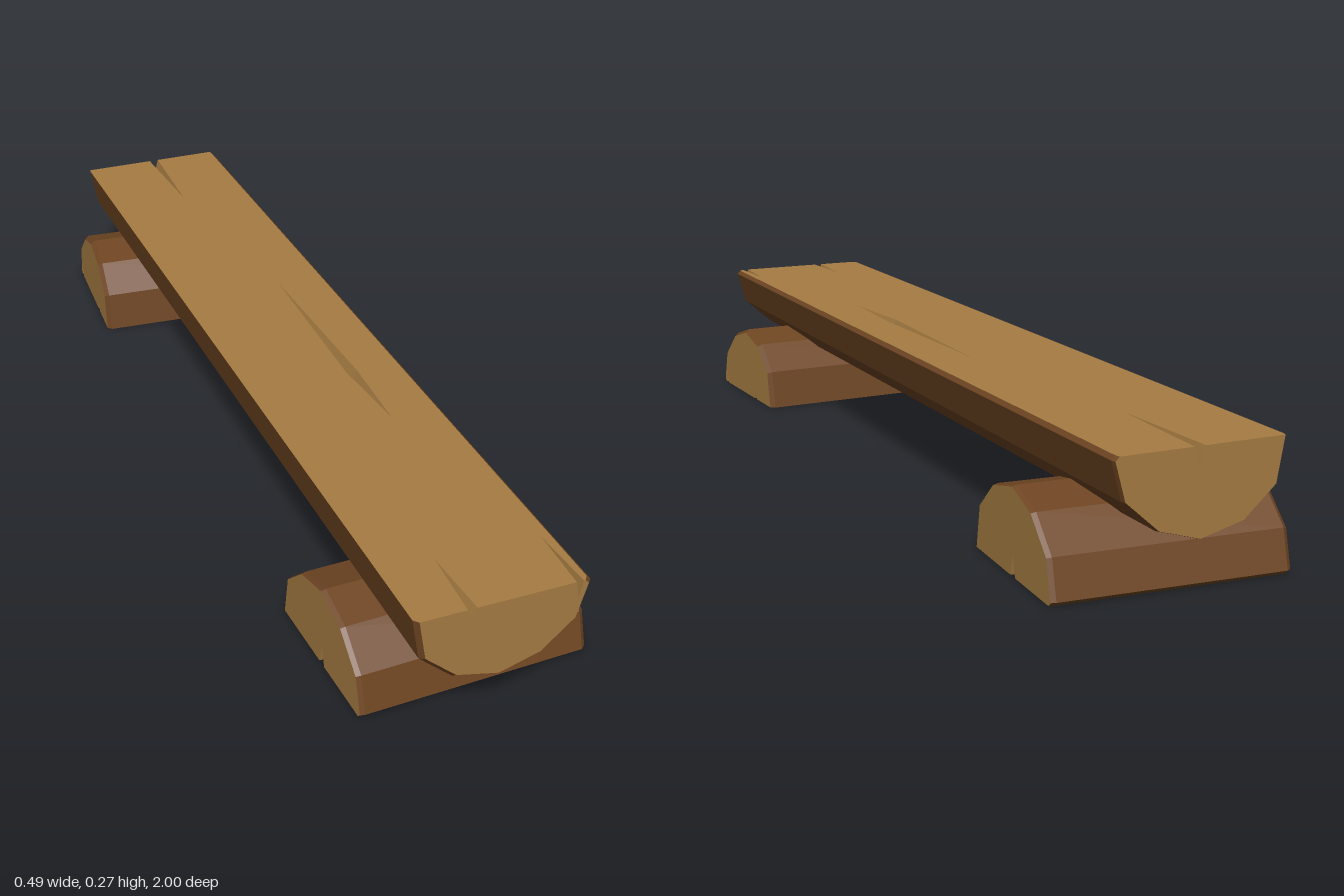
import * as THREE from 'three';

const bark = new THREE.MeshStandardMaterial({ color: 0x6e4522, flatShading: true });
const cut = new THREE.MeshStandardMaterial({ color: 0xa67c42, flatShading: true });

const V = (x, y, z) => new THREE.Vector3(x, y, z);

// Half-round section: flat at the top (y = 0), belly below, left to right
const PROFILE = [
  [-0.175, 0], [-0.16, -0.087], [-0.095, -0.145], [-0.007, -0.167],
  [0.077, -0.142], [0.145, -0.082], [0.166, -0.008], [0.158, 0],
];

// Splits at the ends, ordered left to right; run is a share of the log's length
const SPLITS = {
  front: [
    { u: -0.067, width: 0.018, depth: 0.025, run: 0.075 },
    { u: 0.14, width: 0.014, depth: 0.038, run: 0.07 },
  ],
  back: [{ u: 0, width: 0.022, depth: 0.042, run: 0.125 }],
};

// Adds a triangle turned to face along the hint direction
function tri(out, a, b, c, hint) {
  const n = b.clone().sub(a).cross(c.clone().sub(a));
  const order = n.dot(hint) < 0 ? [a, c, b] : [a, b, c];
  for (const p of order) out.push(p.x, p.y, p.z);
}

// Fills a flat outline, with optional holes, placed in space by a mapping
function fill(out, outline, holes, place, hint) {
  const pts = [outline, ...holes].flat();
  for (const f of THREE.ShapeUtils.triangulateShape(outline, holes)) {
    const [a, b, c] = f.map((i) => place(pts[i]));
    tri(out, a, b, c, hint);
  }
}

function toMesh(name, positions, material) {
  const geometry = new THREE.BufferGeometry();
  geometry.setAttribute('position', new THREE.Float32BufferAttribute(positions, 3));
  geometry.computeVertexNormals();
  const mesh = new THREE.Mesh(geometry, material);
  mesh.name = name;
  return mesh;
}

// A split log lying along z, flat side up
function halfLog(name, length, withCrack) {
  const h = length / 2, barkPos = [], cutPos = [];
  const ring = (z, s) => PROFILE.map(([x, y]) => V(x * s, y * s, z));
  const rings = [ring(-h, 0.985), ring(-h + 0.01, 1), ring(h - 0.01, 1), ring(h, 0.95)];

  // Bark skin
  for (let r = 0; r < 3; r++) {
    for (let i = 0; i < PROFILE.length - 1; i++) {
      const a = rings[r][i], b = rings[r][i + 1], c = rings[r + 1][i + 1], d = rings[r + 1][i];
      const out = V((a.x + b.x) / 2, (a.y + b.y) / 2 + 0.03, 0);
      tri(barkPos, a, b, c, out);
      tri(barkPos, a, c, d, out);
    }
  }

  // Sawn ends with their splits
  const topEdge = { front: [], back: [] };
  for (const [end, list] of Object.entries(SPLITS)) {
    const side = end === 'front' ? 1 : -1, z = side * h;
    const outline = rings[side > 0 ? 3 : 0].map((p) => new THREE.Vector2(p.x, p.y));
    for (const { u, width, depth, run } of [...list].reverse()) {
      const l = u - width / 2, r = u + width / 2, tip = z - side * run * length;
      outline.push(new THREE.Vector2(r, 0), new THREE.Vector2(u, -depth), new THREE.Vector2(l, 0));
      topEdge[end].push([r, z], [u, tip], [l, z]);
      const low = V(u, -depth, z), deep = V(u, 0, tip);
      tri(cutPos, V(l, 0, z), low, deep, V(1, 0, 0));
      tri(cutPos, V(r, 0, z), low, deep, V(-1, 0, 0));
    }
    fill(cutPos, outline, [], (p) => V(p.x, p.y, z), V(0, 0, side));
  }

  // Flat face, with a long drying crack on the seat
  const last = PROFILE.length - 1;
  const leftEdge = rings.map((r) => [r[0].x, r[0].z]);
  const rightEdge = rings.map((r) => [r[last].x, r[last].z]).reverse();
  const top = [...leftEdge, ...topEdge.front.reverse(), ...rightEdge, ...topEdge.back]
    .map(([x, z]) => new THREE.Vector2(x, z));
  const holes = [];
  if (withCrack) {
    const rim = [[0.055, -0.23], [0.066, 0.2], [0.057, 0.4], [0.042, 0.2]]
      .map(([x, z]) => new THREE.Vector2(x, z));
    holes.push(rim);
    const floor = V(0.054, -0.03, 0.2);
    rim.forEach((p, i) => {
      const q = rim[(i + 1) % rim.length];
      tri(cutPos, V(p.x, 0, p.y), V(q.x, 0, q.y), floor, V(0, 1, 0));
    });
  }
  fill(cutPos, top, holes, (p) => V(p.x, 0, p.y), V(0, 1, 0));

  const group = new THREE.Group();
  group.name = name;
  group.add(toMesh(name + 'Bark', barkPos, bark), toMesh(name + 'CutWood', cutPos, cut));
  return group;
}

export function createModel() {
  const model = new THREE.Group();
  model.name = 'logBench';

  const seat = halfLog('seat', 2, true);
  seat.position.set(0, 0.273, 0);
  model.add(seat);

  // Two short logs, flat side down and slightly askew
  for (const [name, z, turn] of [
    ['frontSupport', 0.735, 0.037],
    ['backSupport', -0.79, Math.PI - 0.07],
  ]) {
    const support = halfLog(name, 0.47, false);
    support.position.set(0, 0.003, z);
    support.rotation.set(0, Math.PI / 2 + turn, Math.PI);
    model.add(support);
  }
  return model;
}
